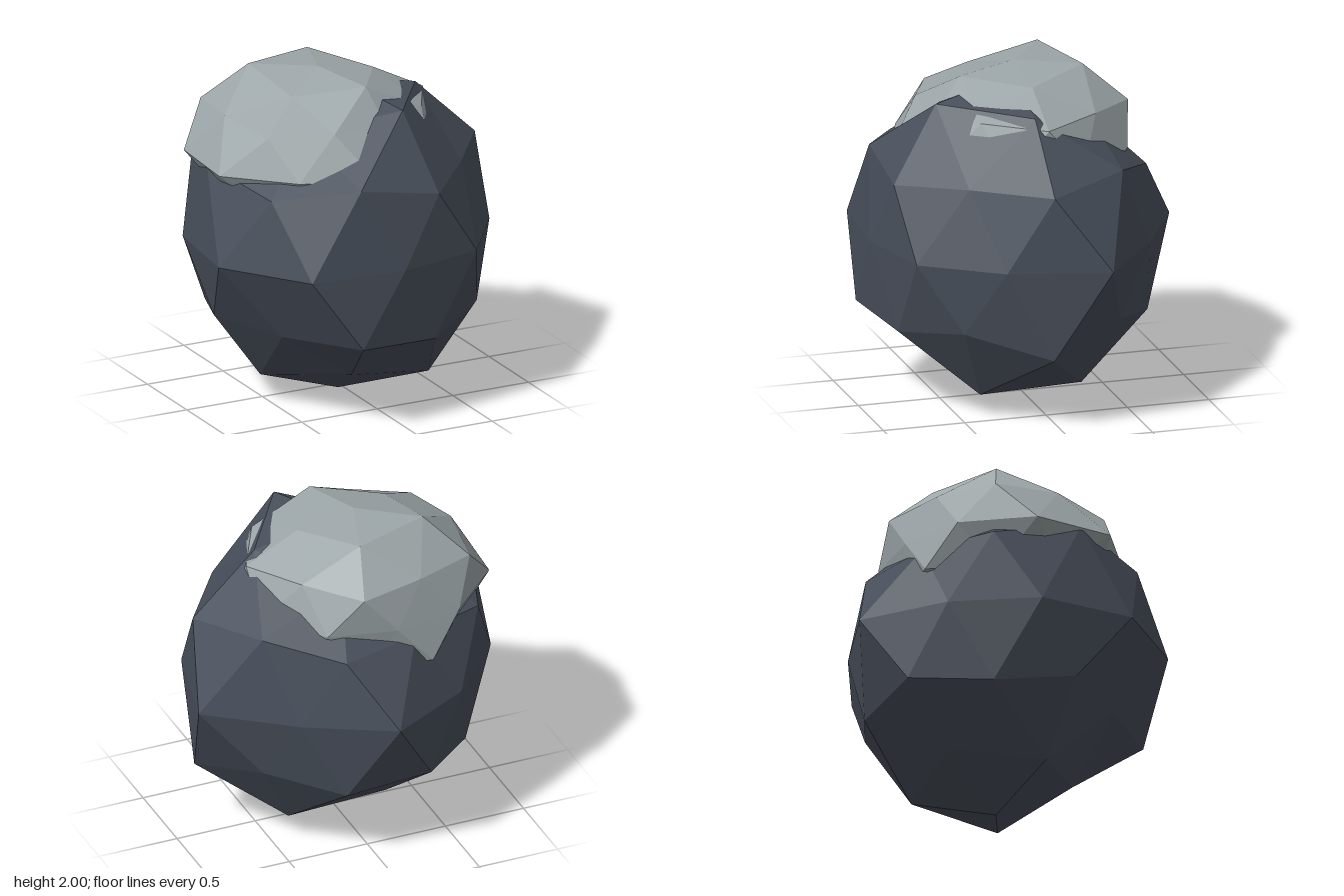
import * as THREE from 'three';

// Latitude bands of a 42-point ball: [height, radius] of each ring
const POINT_RING = [0.8507, 0.5257];
const MAJOR = [0.4472, 0.8944];
const MINOR = [0.5257, 0.8507];

// Faceted ball whose points are pushed in and out by the given radii.
// Ring points run from +x towards +z.
function rock(r, centre, squash) {
  const rings = { top: [], crown: [], upper: [], middle: [], lower: [], base: [], bottom: [] };
  const add = (ring, degrees, y, h, radius) => {
    const a = THREE.MathUtils.degToRad(degrees);
    rings[ring].push([
      centre[0] + Math.cos(a) * h * radius,
      centre[1] + y * radius * squash,
      centre[2] + Math.sin(a) * h * radius,
    ]);
  };
  add('top', 0, 1, 0, r.top);
  add('bottom', 0, -1, 0, r.bottom);
  for (let k = 0; k < 5; k++) {
    add('crown', 72 * k, POINT_RING[0], POINT_RING[1], r.crown[k]);
    add('base', 72 * k + 36, -POINT_RING[0], POINT_RING[1], r.base[k]);
  }
  for (let j = 0; j < 10; j++) {
    const up = j % 2 ? MINOR : MAJOR;
    const low = j % 2 ? MAJOR : MINOR;
    add('upper', 36 * j, up[0], up[1], r.upper[j]);
    add('middle', 36 * j + 18, 0, 1, r.middle[j]);
    add('lower', 36 * j, -low[0], low[1], r.lower[j]);
  }

  const out = [];
  const tri = (a, b, c) => out.push(...a, ...b, ...c);
  const at = (ring, i) => rings[ring][(i + rings[ring].length) % rings[ring].length];
  for (let k = 0; k < 5; k++) {
    // Top fan
    const c0 = at('crown', k), c1 = at('crown', k + 1);
    const u = 2 * k;
    tri(rings.top[0], c1, c0);
    tri(at('upper', u + 1), c0, c1);
    tri(c0, at('upper', u + 1), at('upper', u));
    tri(c0, at('upper', u), at('upper', u - 1));
    // Bottom fan
    const b0 = at('base', k), b1 = at('base', k + 1);
    const l = 2 * k + 1;
    tri(rings.bottom[0], b0, b1);
    tri(at('lower', l + 1), b1, b0);
    tri(b0, at('lower', l), at('lower', l + 1));
    tri(b0, at('lower', l - 1), at('lower', l));
  }
  // Belt either side of the middle
  for (let j = 0; j < 10; j++) {
    const e0 = at('middle', j), e1 = at('middle', j + 1);
    tri(at('middle', j), at('upper', j), at('upper', j + 1));
    tri(at('upper', j + 1), e1, e0);
    tri(at('middle', j), at('lower', j + 1), at('lower', j));
    tri(at('lower', j + 1), e0, e1);
  }
  const geometry = new THREE.BufferGeometry();
  geometry.setAttribute('position', new THREE.Float32BufferAttribute(out, 3));
  geometry.computeVertexNormals();
  return geometry;
}

export function createModel() {
  const darkStone = new THREE.MeshStandardMaterial({ color: 0x484f5b });
  darkStone.name = 'darkStone';
  const paleStone = new THREE.MeshStandardMaterial({ color: 0x9ca5a8 });
  paleStone.name = 'paleStone';
  darkStone.flatShading = paleStone.flatShading = true;

  const group = new THREE.Group();
  group.name = 'boulder';

  // Main boulder
  const boulder = new THREE.Mesh(rock({
    top: 0.94,
    crown: [0.97, 1.01, 0.85, 0.85, 0.85],
    upper: [1.01, 0.86, 0.93, 0.97, 0.98, 1.02, 0.97, 0.85, 0.895, 0.975],
    middle: [0.9, 0.91, 0.86, 1.01, 1.0, 0.925, 0.87, 0.98, 0.87, 1.06],
    lower: [1.05, 0.92, 0.94, 1.01, 0.86, 0.92, 0.93, 0.965, 0.95, 0.91],
    base: [1.02, 0.89, 0.98, 0.87, 1.0],
    bottom: 1,
  }, [-0.03, 1, 0.06], 1), darkStone);
  boulder.name = 'boulderBody';

  // Flattened pale cap sunk into the top
  const cap = new THREE.Mesh(rock({
    top: 0.68,
    crown: [0.69, 0.745, 0.66, 0.79, 0.76],
    upper: [0.77, 0.72, 0.66, 0.684, 0.74, 0.73, 0.78, 0.7, 0.745, 0.7],
    middle: [0.72, 0.75, 0.76, 0.74, 0.83, 0.8, 0.72, 0.66, 0.7, 0.72],
    lower: [0.7, 0.7, 0.7, 0.7, 0.7, 0.7, 0.7, 0.79, 0.7, 0.7],
    base: [0.7, 0.7, 0.7, 0.7, 0.7],
    bottom: 0.7,
  }, [-0.13, 1.525, 0], 0.7), paleStone);
  cap.name = 'paleCap';

  group.add(boulder, cap);
  return group;
}
